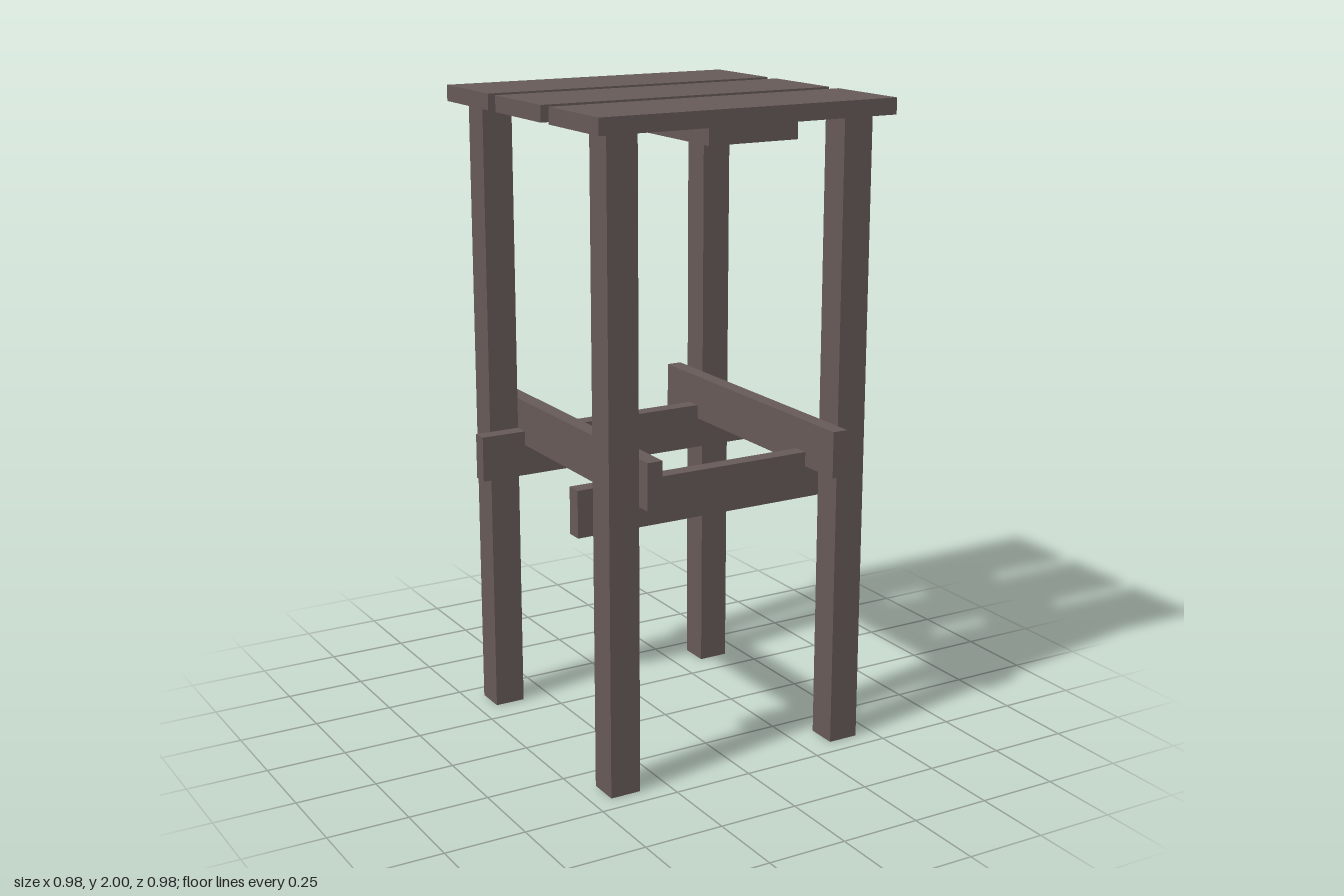
import * as THREE from 'three';

export function createModel() {
  const stool = new THREE.Group();
  stool.name = 'slattedStool';
  const wood = new THREE.MeshStandardMaterial({ color: 0x665a57 });

  const board = (name, w, h, d, x, y, z) => {
    const mesh = new THREE.Mesh(new THREE.BoxGeometry(w, h, d), wood);
    mesh.name = name;
    mesh.position.set(x, y, z);
    stool.add(mesh);
  };

  const length = 0.975;   // full length of every horizontal board
  const thick = 0.049;    // board thickness
  const wide = 0.292;     // plank width
  const leg = 0.097;      // square leg section
  const seatBottom = 2 - thick;

  // Three seat planks with narrow gaps
  for (const i of [-1, 0, 1]) {
    board('seatPlank', length, thick, wide, 0, 2 - thick / 2, i * (length - wide) / 2);
  }

  // Batten joining the planks underneath
  board('seatBatten', wide, thick, length, 0, seatBottom - thick / 2, 0);

  for (const sx of [-1, 1]) {
    // Legs
    for (const sz of [-1, 1]) {
      board(sz > 0 ? 'frontLeg' : 'backLeg', leg, seatBottom, leg, sx * 0.39, seatBottom / 2, sz * 0.39);
    }
    // Crossed rails on the inner faces of the legs, side pair set higher
    board('sideRail', thick, 0.143, length, sx * 0.317, 0.955, 0);
    board(sx > 0 ? 'frontRail' : 'backRail', length, 0.143, thick, 0, 0.857, sx * 0.317);
  }

  return stool;
}
